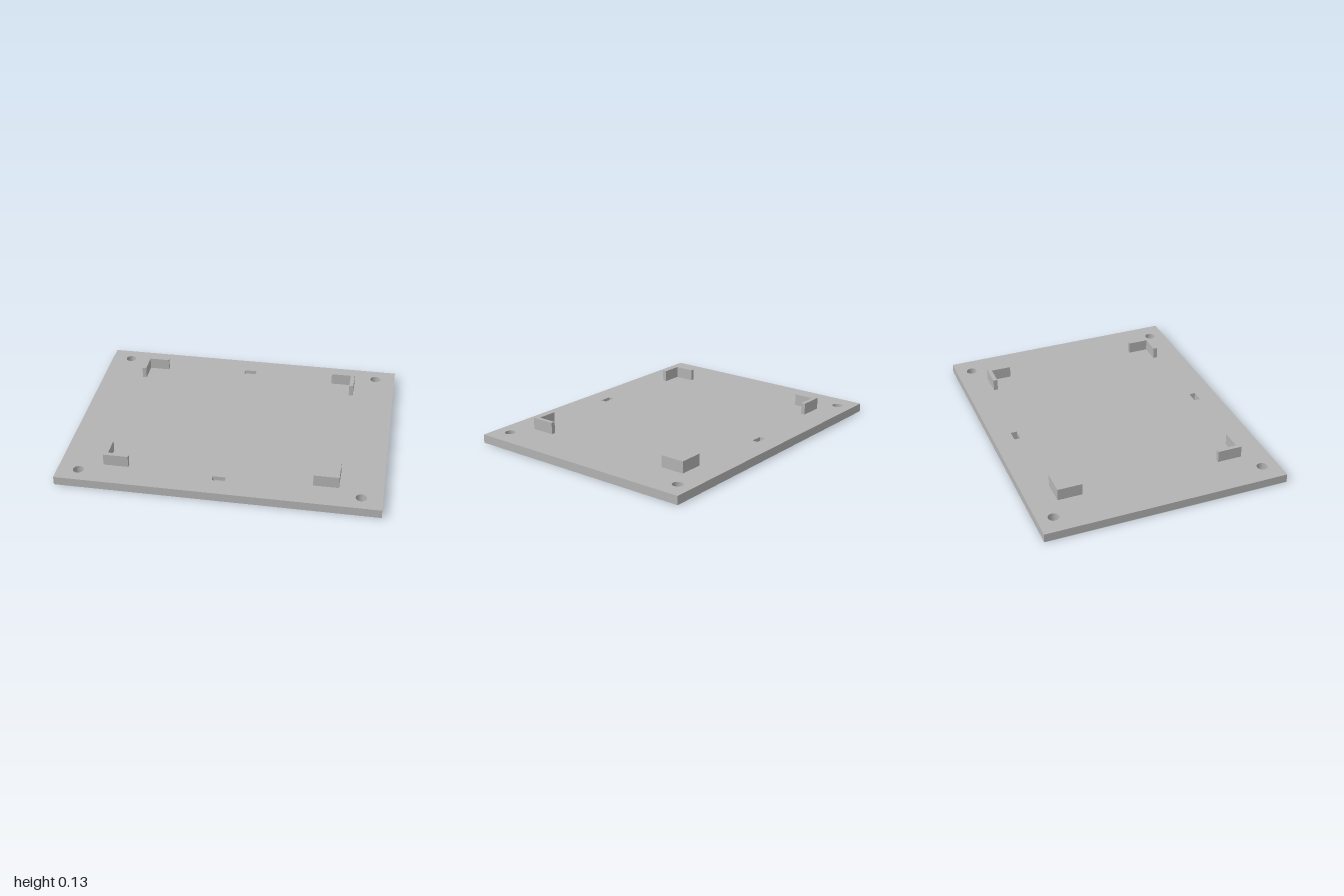
import * as THREE from 'three';
import { mergeGeometries } from 'three/addons/utils/BufferGeometryUtils.js';

const plateHeight = 0.055, grooveDepth = 0.03, bracketTop = 0.13;

// Counter-clockwise outlines in plan
const rect = (x0, z0, x1, z1) => [[x0, z0], [x1, z0], [x1, z1], [x0, z1]].map(p => new THREE.Vector2(...p));
const circle = (x, z, r, n = 32) => Array.from({ length: n }, (_, i) => {
  const a = (i / n) * Math.PI * 2;
  return new THREE.Vector2(x + r * Math.cos(a), z + r * Math.sin(a));
});

// Horizontal face with holes, facing up or down
function face(outline, holes, y, up) {
  const shape = new THREE.Shape(outline);
  shape.holes = holes.map(h => new THREE.Path(h));
  const g = new THREE.ShapeGeometry(shape).rotateX(-Math.PI / 2).translate(0, y, 0).toNonIndexed();
  if (!up) {
    const p = g.attributes.position;
    for (let i = 0; i < p.count; i += 3) {
      const a = new THREE.Vector3().fromBufferAttribute(p, i);
      const b = new THREE.Vector3().fromBufferAttribute(p, i + 1);
      p.setXYZ(i, b.x, b.y, b.z);
      p.setXYZ(i + 1, a.x, a.y, a.z);
    }
  }
  return finish(g);
}

// Vertical wall around an outline; inward turns it to face the inside of a hole
function wall(outline, y0, y1, inward = false) {
  const pts = inward ? [...outline].reverse() : outline;
  const pos = [];
  pts.forEach((a, i) => {
    const b = pts[(i + 1) % pts.length];
    pos.push(a.x, y0, -a.y, b.x, y0, -b.y, b.x, y1, -b.y);
    pos.push(a.x, y0, -a.y, b.x, y1, -b.y, a.x, y1, -a.y);
  });
  const g = new THREE.BufferGeometry();
  g.setAttribute('position', new THREE.Float32BufferAttribute(pos, 3));
  return finish(g);
}

function finish(g) {
  g.deleteAttribute('uv');
  g.computeVertexNormals();
  return g;
}

export function createModel() {
  const group = new THREE.Group();
  const grey = new THREE.MeshStandardMaterial({ color: 0xb3b3b3 });
  grey.name = 'grey';

  // Base plate: screw holes, two through slots joined by a groove underneath
  const outline = rect(-1, -0.778, 1, 0.778);
  const groove = rect(-0.04, -0.65, 0.04, 0.65);
  const slots = [rect(-0.04, 0.61, 0.04, 0.65), rect(-0.04, -0.65, 0.04, -0.61)];
  const screws = [];
  for (const sx of [-1, 1]) for (const sz of [-1, 1]) screws.push(circle(sx * 0.87, sz * 0.676, 0.034));

  const plate = new THREE.Mesh(mergeGeometries([
    face(outline, [...screws, ...slots], plateHeight, true),
    face(outline, [...screws, groove], 0, false),
    face(rect(-0.04, -0.61, 0.04, 0.61), [], grooveDepth, false),
    wall(outline, 0, plateHeight),
    wall(groove, 0, grooveDepth, true),
    ...slots.map(s => wall(s, grooveDepth, plateHeight, true)),
    ...screws.map(s => wall(s, 0, plateHeight, true)),
  ]), grey);
  plate.name = 'basePlate';
  group.add(plate);

  // L-shaped corner brackets
  const ox = 0.73, oz = 0.602, arm = 0.157, t = 0.027;
  for (const sx of [-1, 1]) for (const sz of [-1, 1]) {
    const corner = [
      [ox, oz], [ox - arm, oz], [ox - arm, oz - t],
      [ox - t, oz - t], [ox - t, oz - arm], [ox, oz - arm],
    ].map(([x, z]) => new THREE.Vector2(sx * x, sz * z));
    const g = new THREE.ExtrudeGeometry(new THREE.Shape(corner), { depth: bracketTop - plateHeight, bevelEnabled: false });
    g.rotateX(-Math.PI / 2);
    const bracket = new THREE.Mesh(g, grey);
    bracket.position.y = plateHeight;
    bracket.name = `${sz < 0 ? 'front' : 'back'}${sx > 0 ? 'Left' : 'Right'}Bracket`;
    group.add(bracket);
  }
  return group;
}
